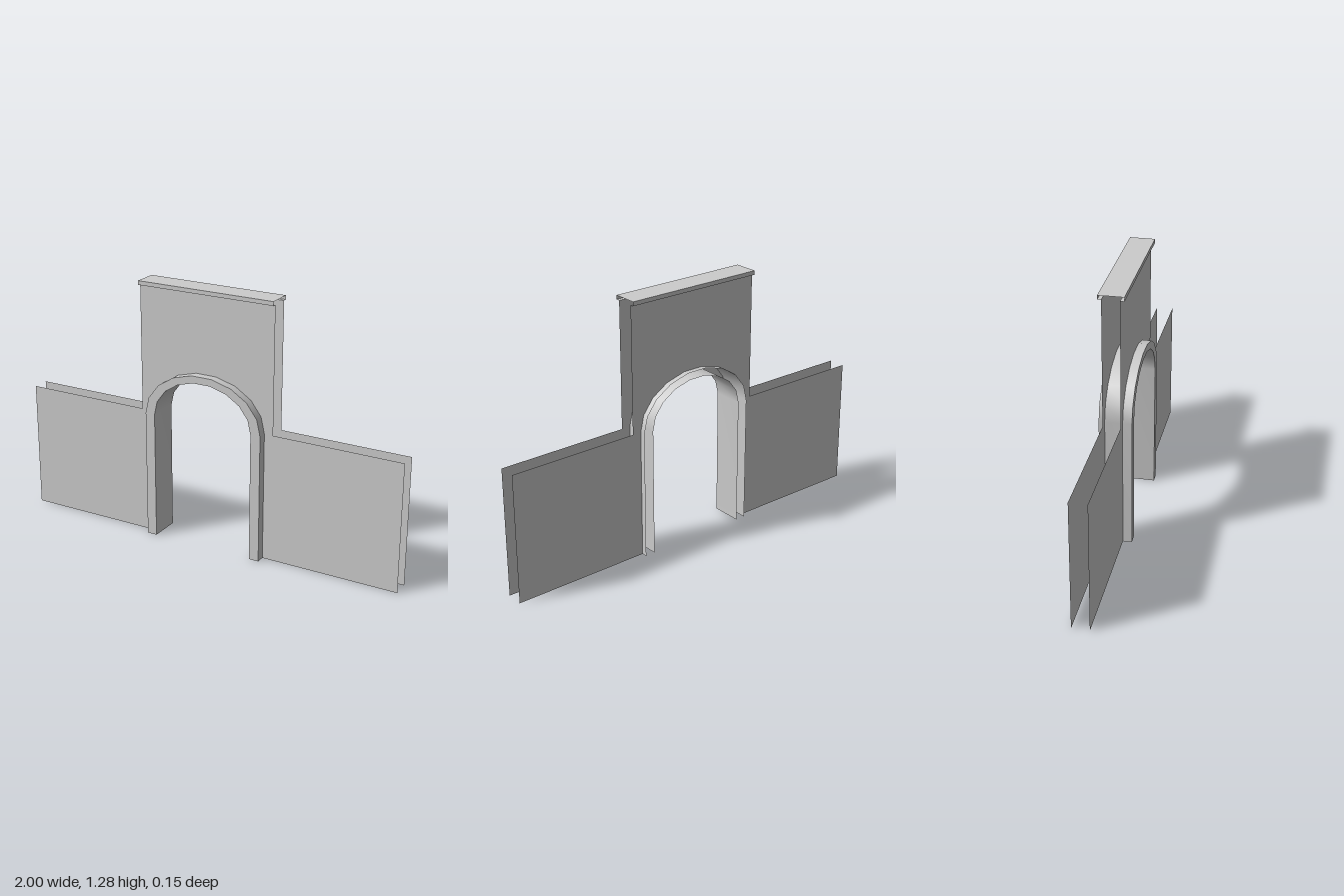
import * as THREE from 'three';
import { mergeGeometries } from 'three/addons/utils/BufferGeometryUtils.js';

const WALL_FRONT = 0.034, WALL_BACK = -0.049; // the two wall sheets
const ARCH_Z = 0.077;                         // half depth of the arch lining
const SPRING = 0.637;                         // wing height, where the arch starts to curve
const TOWER = 0.355, LIP = 1.258, TOP = 1.278;

const material = new THREE.MeshStandardMaterial({ color: 0xcccccc, side: THREE.DoubleSide });

// Arch outline from the left foot over the crown to the right foot: 9 segments
function archLine(rx, ry) {
  const points = [[-rx, 0]];
  for (let i = 0; i <= 9; i++) {
    const t = Math.PI * (1 - i / 9);
    points.push([rx * Math.cos(t), SPRING + ry * Math.sin(t)]);
  }
  points.push([rx, 0]);
  return points;
}

const atDepth = (line, z) => line.map(([x, y]) => [x, y, z]);

// Sheet of quads between two rails with the same number of points
function sheet(a, b) {
  const index = [], n = a.length;
  for (let i = 0; i < n - 1; i++) index.push(i, n + i, i + 1, i + 1, n + i, n + i + 1);
  const geometry = new THREE.BufferGeometry();
  geometry.setAttribute('position', new THREE.Float32BufferAttribute([...a, ...b].flat(), 3));
  geometry.setIndex(index);
  geometry.computeVertexNormals();
  return geometry;
}

export function createModel() {
  const model = new THREE.Group();
  const add = (name, geometry, parent = model) => {
    const mesh = new THREE.Mesh(geometry, material);
    mesh.name = name;
    parent.add(mesh);
    return mesh;
  };

  const outer = archLine(0.31, 0.236);
  const inner = archLine(0.26, 0.2);

  // Front and back wall sheets: two wings and a tower, cut out around the arch
  const outline = [
    ...outer, [1, 0], [1, SPRING], [TOWER, SPRING], [TOWER, LIP],
    [-TOWER, LIP], [-TOWER, SPRING], [-1, SPRING], [-1, 0],
  ];
  const wall = new THREE.ShapeGeometry(
    new THREE.Shape(outline.map(([x, y]) => new THREE.Vector2(x, y))));
  add('frontWall', wall).position.z = WALL_FRONT;
  const backWall = add('backWall', wall);
  backWall.position.z = WALL_BACK;
  backWall.rotation.y = Math.PI;

  // Arch lining, open at the back
  const arch = new THREE.Group();
  arch.name = 'arch';
  model.add(arch);
  add('archOuterSide', sheet(atDepth(outer, -ARCH_Z), atDepth(outer, ARCH_Z)), arch);
  add('archSoffit', sheet(atDepth(inner, ARCH_Z), atDepth(inner, -ARCH_Z)), arch);
  add('archFrontFace', sheet(atDepth(outer, ARCH_Z), atDepth(inner, ARCH_Z)), arch);

  // Tower cap: ledge, lip, top, lip, ledge, with open ends
  const profile = [
    [LIP, WALL_BACK], [LIP, -0.067], [TOP, -0.067],
    [TOP, 0.053], [LIP, 0.053], [LIP, WALL_FRONT],
  ];
  const rail = ([y, z]) => [[-TOWER, y, z], [TOWER, y, z]];
  add('towerCap', mergeGeometries(
    profile.slice(1).map((p, i) => sheet(rail(profile[i]), rail(p)))));

  return model;
}
